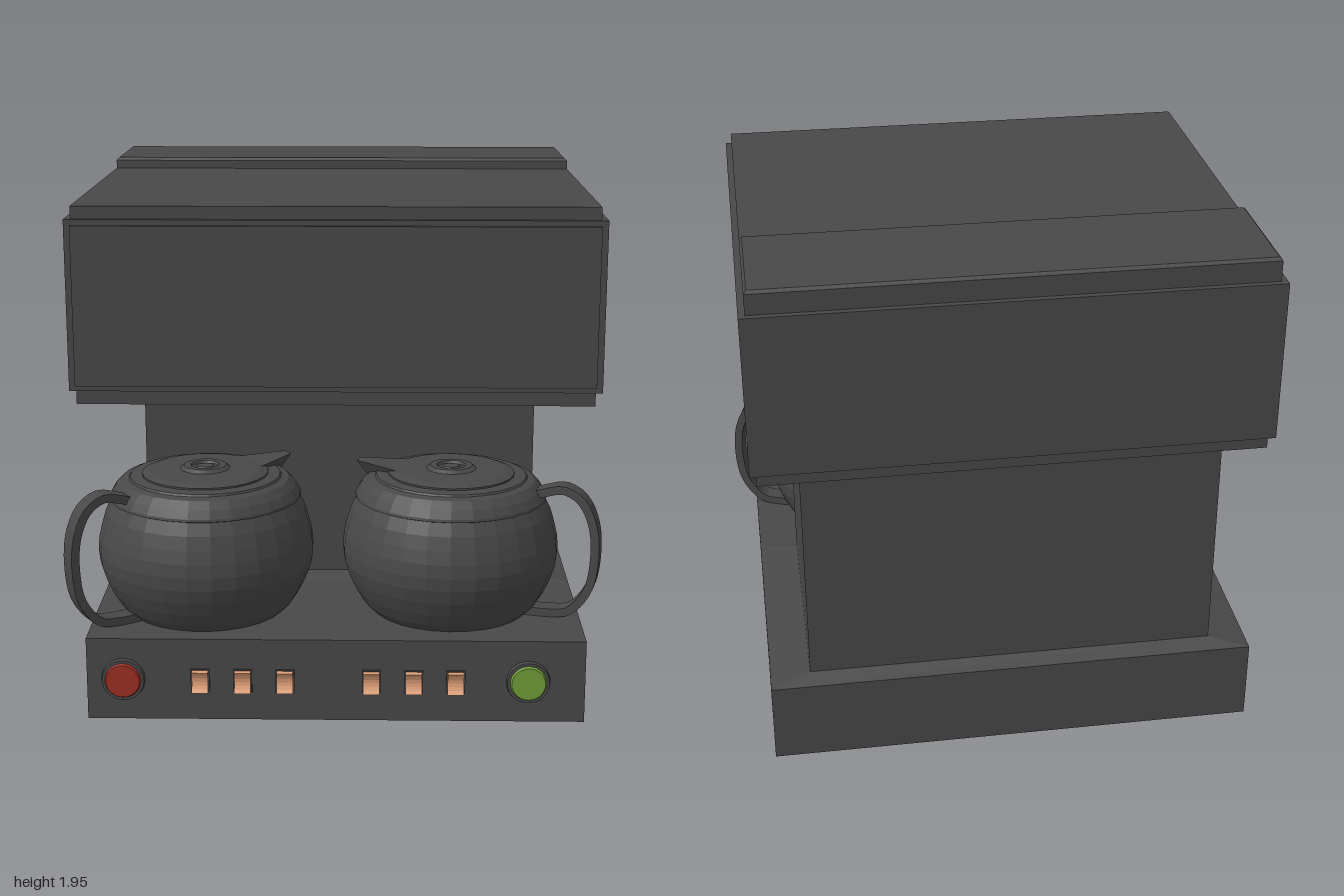
import * as THREE from 'three';
import { ConvexGeometry } from 'three/addons/geometries/ConvexGeometry.js';

const mat = (name, color) => new THREE.MeshStandardMaterial({ name, color, flatShading: true });

export function createModel() {
  const model = new THREE.Group();
  model.name = 'coffeeMaker';
  const dark = mat('darkGrey', 0x484848);
  const red = mat('red', 0x9c2f24);
  const green = mat('green', 0x6f9c38);
  const orange = mat('orange', 0xe0a078);

  const add = (name, geometry, material = dark, parent = model) => {
    const mesh = new THREE.Mesh(geometry, material);
    mesh.name = name;
    parent.add(mesh);
    return mesh;
  };

  // Box given by its limits on each axis
  const block = (name, [x0, x1], [y0, y1], [z0, z1]) =>
    add(name, new THREE.BoxGeometry(x1 - x0, y1 - y0, z1 - z0)
      .translate((x0 + x1) / 2, (y0 + y1) / 2, (z0 + z1) / 2));

  // Sloped block between a lower and an upper rectangle: [half width, back z, front z]
  const taper = (name, y0, y1, lower, upper) => {
    const geo = new THREE.BoxGeometry(2, 2, 2);
    const p = geo.attributes.position;
    for (let i = 0; i < p.count; i++) {
      const [w, back, front] = p.getY(i) > 0 ? upper : lower;
      p.setXYZ(i, p.getX(i) * w, p.getY(i) > 0 ? y1 : y0, p.getZ(i) > 0 ? front : back);
    }
    return add(name, geo);
  };

  // Housing
  block('base', [-0.92, 0.92], [0, 0.315], [-0.83, 0.81]);
  taper('columnFoot', 0.314, 0.34, [0.92, -0.83, 0.17], [0.77, -0.77, 0.1]);
  block('column', [-0.77, 0.77], [0.33, 1.19], [-0.77, 0.1]);
  taper('hoodUnderside', 1.18, 1.205, [0.77, -0.77, 0.1], [0.92, -0.83, 0.81]);
  block('hood', [-0.92, 0.92], [1.204, 1.91], [-0.83, 0.81]);
  block('hoodBand', [-0.943, 0.943], [1.255, 1.865], [-0.853, 0.825]);
  block('frontPanel', [-0.92, 0.92], [1.275, 1.845], [0.8, 0.838]);
  block('rearLid', [-0.92, 0.92], [1.9, 1.942], [-0.83, -0.36]);
  taper('rearLidBevel', 1.942, 1.953, [0.92, -0.83, -0.36], [0.91, -0.82, -0.37]);

  // Carafe shapes, with the handle towards local +x
  const v2 = ([x, y]) => new THREE.Vector2(x, y);
  const bodyGeo = new THREE.LatheGeometry([
    [0, 0.316], [0.3, 0.316], [0.335, 0.35], [0.365, 0.4], [0.39, 0.455], [0.407, 0.51],
    [0.412, 0.56], [0.407, 0.61], [0.395, 0.66], [0.38, 0.71], [0.357, 0.757], [0.364, 0.76],
    [0.362, 0.77], [0.345, 0.8], [0.318, 0.828], [0.29, 0.835], [0.285, 0.842], [0.21, 0.848],
  ].map(v2), 28);
  const lidGeo = new THREE.LatheGeometry([
    [0.24, 0.838], [0.24, 0.852], [0.21, 0.862], [0.095, 0.865], [0.08, 0.877],
    [0.055, 0.877], [0.05, 0.868], [0.035, 0.868], [0.03, 0.874], [0, 0.874],
  ].map(v2), 28);
  const spoutGeo = new ConvexGeometry([
    [-0.19, 0.86, 0.09], [-0.19, 0.86, -0.09], [-0.365, 0.872, 0.025], [-0.365, 0.872, -0.025],
    [-0.32, 0.8, 0], [-0.2, 0.82, 0.05], [-0.2, 0.82, -0.05],
  ].map((p) => new THREE.Vector3(...p)));

  // Handle: a flat strap following a planar curve
  const path = new THREE.SplineCurve([
    [0.31, 0.785], [0.37, 0.805], [0.44, 0.818], [0.51, 0.775], [0.552, 0.68], [0.56, 0.56],
    [0.54, 0.44], [0.475, 0.35], [0.4, 0.332], [0.3, 0.332],
  ].map(v2));
  const outer = [], inner = [];
  for (let i = 0; i <= 32; i++) {
    const p = path.getPointAt(i / 32), t = path.getTangentAt(i / 32);
    const n = new THREE.Vector2(-t.y, t.x).multiplyScalar(0.016);
    outer.push(p.clone().add(n));
    inner.unshift(p.clone().sub(n));
  }
  const handleGeo = new THREE.ExtrudeGeometry(new THREE.Shape([...outer, ...inner]),
    { depth: 0.07, bevelEnabled: false }).translate(0, 0, -0.035);

  for (const [name, x, z, turn] of [
    ['leftCarafe', 0.432, 0.42, -0.26],
    ['rightCarafe', -0.503, 0.435, Math.PI + 0.58],
  ]) {
    const carafe = new THREE.Group();
    carafe.name = name;
    carafe.position.set(x, 0, z);
    carafe.rotation.y = turn;
    add('carafeBody', bodyGeo, dark, carafe);
    add('carafeLid', lidGeo, dark, carafe);
    add('carafeSpout', spoutGeo, dark, carafe);
    add('carafeHandle', handleGeo, dark, carafe);
    model.add(carafe);
  }

  // Round indicator lamps in raised rings
  const ringGeo = new THREE.CylinderGeometry(0.078, 0.082, 0.02, 28).rotateX(Math.PI / 2);
  const lampGeo = new THREE.CylinderGeometry(0.062, 0.068, 0.012, 28).rotateX(Math.PI / 2);
  for (const [name, x, material] of [['redLamp', -0.785, red], ['greenLamp', 0.71, green]]) {
    add(name + 'Ring', ringGeo).position.set(x, 0.157, 0.816);
    add(name, lampGeo, material).position.set(x, 0.157, 0.83);
  }

  // Rocker switches with a hollow front face
  const profile = new THREE.Shape();
  profile.moveTo(0, -0.04);
  profile.lineTo(0.035, -0.04);
  profile.quadraticCurveTo(0.004, 0, 0.035, 0.04);
  profile.lineTo(0, 0.04);
  const rockerGeo = new THREE.ExtrudeGeometry(profile, { depth: 0.06, bevelEnabled: false, curveSegments: 6 })
    .translate(0, 0, -0.03).rotateY(-Math.PI / 2);
  const bezelGeo = new THREE.BoxGeometry(0.07, 0.088, 0.016);
  for (const x of [-0.5, -0.343, -0.187, 0.132, 0.288, 0.443]) {
    add('switchBezel', bezelGeo).position.set(x, 0.155, 0.81);
    add('rockerSwitch', rockerGeo, orange).position.set(x, 0.155, 0.808);
  }

  return model;
}
